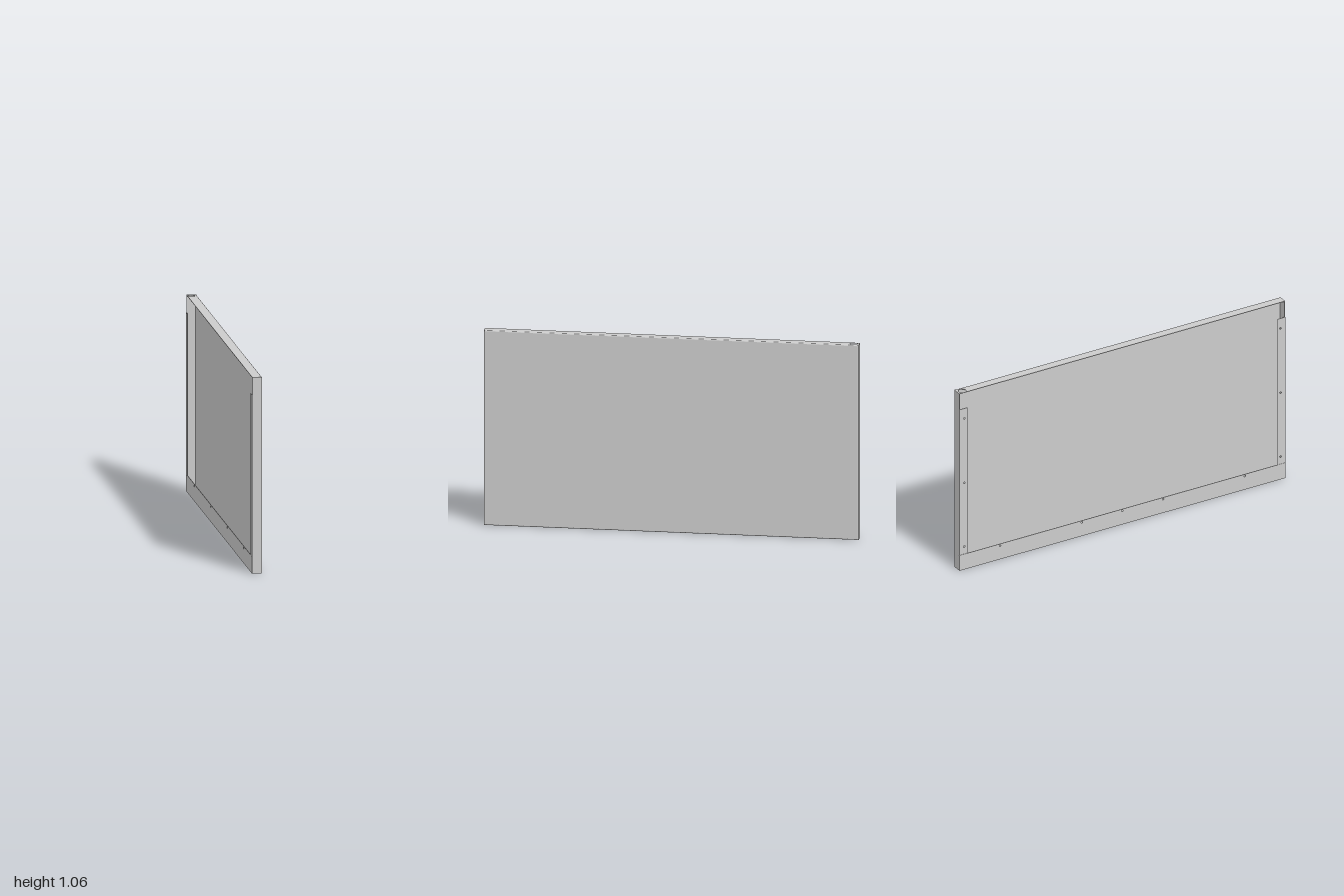
import * as THREE from 'three';
import { toCreasedNormals } from 'three/addons/utils/BufferGeometryUtils.js';

// Sheet-metal panel: half thickness, height, half length, sheet gauge, bend radius
const W = 0.027, H = 1.06, L = 1, T = 0.003, R = 0.005;
const FLANGE_Y = 0.092, FLANGE_TOP = 0.965, FLANGE_W = 0.048;

const material = new THREE.MeshStandardMaterial({ color: 0xcccccc, side: THREE.DoubleSide });

export function createModel() {
  const model = new THREE.Group();

  function add(name, shape, depth, rx, ry, x, y, z) {
    const extruded = new THREE.ExtrudeGeometry(shape, { depth, bevelEnabled: false, curveSegments: 12 });
    const mesh = new THREE.Mesh(toCreasedNormals(extruded, 0.6), material);
    mesh.name = name;
    mesh.rotation.set(rx, ry, 0);
    mesh.position.set(x, y, z);
    model.add(mesh);
  }

  // Polygon with round holes given as [x, y, radius]
  function sheet(points, holes = []) {
    const shape = new THREE.Shape(points.map(([x, y]) => new THREE.Vector2(x, y)));
    for (const [x, y, r] of holes) {
      shape.holes.push(new THREE.Path().absarc(x, y, r, 0, Math.PI * 2, true));
    }
    return shape;
  }
  const rect = (x0, x1, y0, y1, holes) => sheet([[x0, y0], [x1, y0], [x1, y1], [x0, y1]], holes);

  // Quarter-round sheet bend starting at angle a
  function bend(a) {
    const shape = new THREE.Shape();
    shape.absarc(0, 0, R, a, a + Math.PI / 2, false);
    shape.absarc(0, 0, R - T, a + Math.PI / 2, a, true);
    return shape;
  }

  const Q = Math.PI / 2;

  // Large flat face
  add('facePanel', rect(-L + R, L - R, R, H - R), T, 0, Q, W - T, 0, 0);

  // Top and bottom edges, both pierced by the pivot hole at the rear end
  const pivotHole = [[-0.004, 0.969, 0.0205]];
  add('topEdge', rect(-W + 0.002, W - R, -L + T, L - T, pivotHole), T, -Q, 0, 0, H - T, 0);
  add('bottomEdge', rect(-W, W - R, -L + T, L - T, pivotHole), T, -Q, 0, 0, 0, 0);

  // Rounded bends along the face
  add('topBend', bend(0), 2 * (L - R), 0, 0, W - R, H - R, -L + R);
  add('bottomBend', bend(-Q), 2 * (L - R), 0, 0, W - R, R, -L + R);

  // Bottom return flange with screw holes
  const bottomHoles = [-0.75, -0.25, 0, 0.25, 0.75].map((u) => [u, 0.082, 0.005]);
  add('bottomFlange', rect(-L, L, T, FLANGE_Y, bottomHoles), T, 0, Q, -W, 0, 0);

  // Side walls, bends and return flanges, mirrored at both ends
  const wall = [
    [-W, 0], [W - R, 0], [W - R, H], [-W + 0.002, H],
    [-W + 0.002, FLANGE_TOP], [-W + T, FLANGE_TOP], [-W + T, T], [-W, T],
  ];
  for (const s of [1, -1]) {
    add('sideWall', sheet(wall), T, 0, 0, 0, 0, s > 0 ? L - T : -L);
    add('sideBend', bend(s > 0 ? -Q : 0), H, -Q, 0, W - R, 0, s * (L - R));
    const edges = [-s * L, -s * (L - FLANGE_W)].sort((a, b) => a - b);
    const holes = [0.137, 0.52, 0.905].map((y) => [-s * (L - 0.03), y, 0.005]);
    add('sideFlange', rect(edges[0], edges[1], FLANGE_Y + 0.001, FLANGE_TOP, holes), T, 0, Q, -W, 0, 0);
  }

  return model;
}
